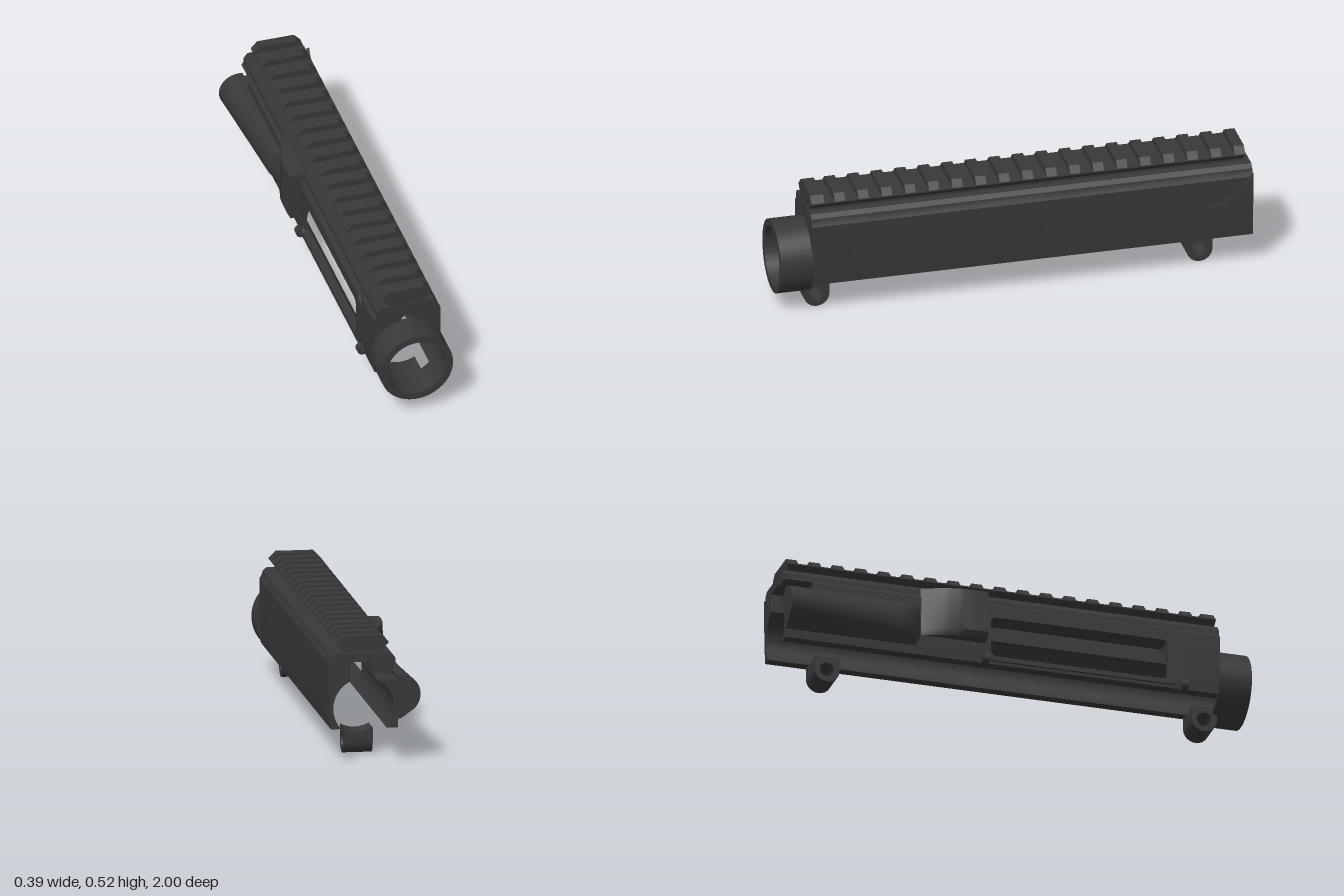
import * as THREE from 'three';
import { toCreasedNormals } from 'three/addons/utils/BufferGeometryUtils.js';

const CX = 0.04, CY = 0.222, BORE = 0.127, RING = 0.155, BOTTOM = 0.137;
const LEFT = [[-0.1, BOTTOM], [-0.104, 0.2], [-0.104, 0.395], [-0.09, 0.41], [-0.09, 0.43], [-0.073, 0.452]];
const RIGHT = [[0.153, 0.452], [0.17, 0.436], [0.172, 0.425], [0.183, 0.405], [0.183, 0.2], [0.177, BOTTOM]];

const material = new THREE.MeshStandardMaterial({ color: 0x37383a, side: THREE.DoubleSide });
const polygon = pts => new THREE.Shape(pts.map(p => new THREE.Vector2(p[0], p[1])));

function circleHole(shape, x, y, r) {
  const hole = new THREE.Path();
  hole.absarc(x, y, r, 0, Math.PI * 2, true);
  shape.holes.push(hole);
  return shape;
}

// Extrude along z from z0 to z1; an optional rule moves each vertex
function alongZ(shape, z0, z1, steps = 1, rule) {
  const geo = new THREE.ExtrudeGeometry(shape, { depth: z1 - z0, steps, bevelEnabled: false, curveSegments: 24 });
  geo.translate(0, 0, z0);
  return finish(geo, rule);
}

// Extrude along x from x0 to x1; the shape is drawn in (-z, y)
function alongX(shape, x0, x1, steps = 1, rule) {
  const geo = new THREE.ExtrudeGeometry(shape, { depth: x1 - x0, steps, bevelEnabled: false, curveSegments: 24 });
  geo.rotateY(Math.PI / 2).translate(x0, 0, 0);
  return finish(geo, rule);
}

function finish(geo, rule) {
  const p = geo.attributes.position, v = new THREE.Vector3();
  if (rule) for (let i = 0; i < p.count; i++) {
    rule(v.fromBufferAttribute(p, i));
    p.setXYZ(i, v.x, v.y, v.z);
  }
  return toCreasedNormals(geo, 0.5);
}

// Linear interpolation in a list of [key, value]
function lerpTable(table, k) {
  for (let i = 1; i < table.length; i++) {
    const [a, va] = table[i - 1], [b, vb] = table[i];
    if (k <= b) return va + (vb - va) * Math.max(0, (k - a) / (b - a));
  }
  return table[table.length - 1][1];
}

// Half width of the hollow (bore plus top channel) at height y
function hollow(y, ch) {
  const bore = Math.sqrt(Math.max(0, BORE ** 2 - (y - CY) ** 2));
  const c = ch.top - ch.w;
  const slot = ch.round && y > c ? Math.sqrt(Math.max(0, ch.w ** 2 - (y - c) ** 2)) : ch.w;
  return y > CY ? Math.max(bore, slot) : bore;
}
const heights = (a, b, n = 32) => Array.from({ length: n + 1 }, (_, i) => a + (b - a) * i / n);
const outerLeft = y => lerpTable(LEFT.map(([x, h]) => [h, x]), y);

// Roof and right wall, with the left wall reaching down to yLeft
function roofSection(yLeft, ch) {
  const pts = [[outerLeft(yLeft), yLeft], ...LEFT.filter(p => p[1] > yLeft).map(p => [...p]), ...RIGHT];
  heights(BOTTOM, ch.top).forEach(y => pts.push([CX + hollow(y, ch), y]));
  heights(ch.top, yLeft).forEach((y, i) => { if (i || !ch.round) pts.push([CX - hollow(y, ch), y]); });
  return polygon(pts);
}

// Left wall from the bottom up to yTop
function lowerLeft(yTop, ch) {
  const pts = LEFT.filter(p => p[1] < yTop);
  return polygon([...pts, [outerLeft(yTop), yTop], ...heights(yTop, BOTTOM, 16).map(y => [CX - hollow(y, ch), y])]);
}

function roundedRect(target, x0, y0, x1, y1, r) {
  target.moveTo(x0 + r, y0).lineTo(x1 - r, y0).quadraticCurveTo(x1, y0, x1, y0 + r)
    .lineTo(x1, y1 - r).quadraticCurveTo(x1, y1, x1 - r, y1)
    .lineTo(x0 + r, y1).quadraticCurveTo(x0, y1, x0, y1 - r)
    .lineTo(x0, y0 + r).quadraticCurveTo(x0, y0, x0 + r, y0);
  return target;
}

export function createModel() {
  const model = new THREE.Group();
  const add = (name, geo) => {
    const mesh = new THREE.Mesh(geo, material);
    mesh.name = name;
    model.add(mesh);
  };

  // Hollow housing, open underneath, with a side window and a rear slot
  const wide = { w: 0.055, top: 0.415 }, narrow = { w: 0.027, top: 0.4, round: true };
  add('housingRearRoof', alongZ(roofSection(0.4, wide), -1, -0.88));
  add('housingRearWall', alongZ(lowerLeft(0.34, wide), -1, -0.88));
  add('housingMiddle', alongZ(roofSection(BOTTOM, wide), -0.88, -0.12));
  add('windowRoof', alongZ(roofSection(0.345, wide), -0.12, 0.64));
  add('windowSill', alongZ(lowerLeft(0.17, wide), -0.12, 0.64));
  add('housingFront', alongZ(roofSection(BOTTOM, wide), 0.64, 0.7));
  add('housingNose', alongZ(roofSection(BOTTOM, narrow), 0.7, 0.865));

  // Raised frame around the window
  const frame = roundedRect(new THREE.Shape(), -0.7, 0.15, 0.15, 0.395, 0.05);
  frame.holes.push(roundedRect(new THREE.Path(), -0.64, 0.17, 0.12, 0.345, 0.03));
  add('windowFrame', alongX(frame, -0.111, -0.1));

  // Front collar
  const collar = new THREE.Shape();
  collar.absarc(CX, CY, RING, 0, Math.PI * 2, false);
  const collarGeo = new THREE.ExtrudeGeometry(circleHole(collar, CX, CY, BORE), { depth: 0.14, bevelEnabled: false, curveSegments: 48 });
  add('frontCollar', toCreasedNormals(collarGeo.translate(0, 0, 0.86), 0.5));

  // Top rail: continuous base and evenly spaced teeth
  const railBase = polygon([[-0.038, 0.45], [0.118, 0.45], [0.118, 0.462], [0.145, 0.487], [0.145, 0.492], [-0.065, 0.492], [-0.065, 0.487], [-0.038, 0.462]]);
  add('railBase', alongZ(railBase, -0.975, 0.86));
  const tooth = polygon([[-0.065, 0.49], [0.145, 0.49], [0.145, 0.493], [0.118, 0.52], [-0.038, 0.52], [-0.065, 0.493]]);
  for (let i = 0; i < 19; i++) {
    const z = 0.858 - i * 0.0995;
    add('railTooth', alongZ(tooth, z - (i ? 0.044 : 0.055), z));
  }

  // Pierced lugs underneath, their tops hollowed to follow the bore
  for (const z of [0.825, -0.795]) {
    const lug = new THREE.Shape();
    lug.moveTo(-z - 0.054, 0.11).lineTo(-z - 0.054, 0.054);
    lug.absarc(-z, 0.054, 0.054, Math.PI, Math.PI * 2, false);
    lug.lineTo(-z + 0.054, 0.11);
    circleHole(lug, -z, 0.054, 0.031);
    add('lug', alongX(lug, -0.02, 0.1, 10, v => {
      if (v.y > 0.1) v.y = CY - Math.sqrt(BORE ** 2 - (v.x - CX) ** 2);
    }));
  }

  // Flared round housing at the left rear, narrowing forwards
  const flare = new THREE.Shape();
  flare.moveTo(-0.095, 0.175).lineTo(-0.115, 0.175).lineTo(-0.168, 0.214);
  flare.absarc(-0.113, 0.275, 0.082, Math.PI + 0.84, Math.PI / 2, true);
  flare.lineTo(-0.095, 0.357);
  const flareWidth = [[-1, 1], [-0.48, 0.54], [-0.45, 0.35], [-0.42, 0.03]];
  add('flaredHousing', alongZ(flare, -1, -0.42, 24, v => {
    if (v.x < -0.1) v.x = -0.1 + (v.x + 0.1) * lerpTable(flareWidth, v.z);
  }));

  // Wedge-shaped deflector behind the window
  const wedge = polygon([[-0.085, 0.435], [-0.155, 0.435], [-0.163, 0.25], [-0.15, 0.225], [-0.1, 0.225]]);
  const wedgeWidth = [[-0.42, 0.05], [-0.32, 0.7], [-0.26, 0.95], [-0.22, 1], [-0.15, 1]];
  add('deflector', alongZ(wedge, -0.42, -0.145, 16, v => {
    if (v.x < -0.1) v.x = -0.1 + (v.x + 0.1) * lerpTable(wedgeWidth, v.z);
  }));

  // Raised curved panel at the right rear
  const panel = new THREE.Shape();
  panel.moveTo(0.79, 0.285).lineTo(1, 0.285).lineTo(1, 0.423);
  panel.quadraticCurveTo(0.93, 0.3, 0.79, 0.285);
  add('sidePanel', alongX(panel, 0.18, 0.192));

  // Small hinge loops beneath the window
  for (const z of [0.71, -0.145]) {
    const loop = new THREE.Shape();
    loop.absarc(-0.108, 0.153, 0.022, 0, Math.PI * 2, false);
    add('hingeLoop', alongZ(circleHole(loop, -0.108, 0.153, 0.01), z - 0.015, z + 0.015));
  }
  return model;
}
